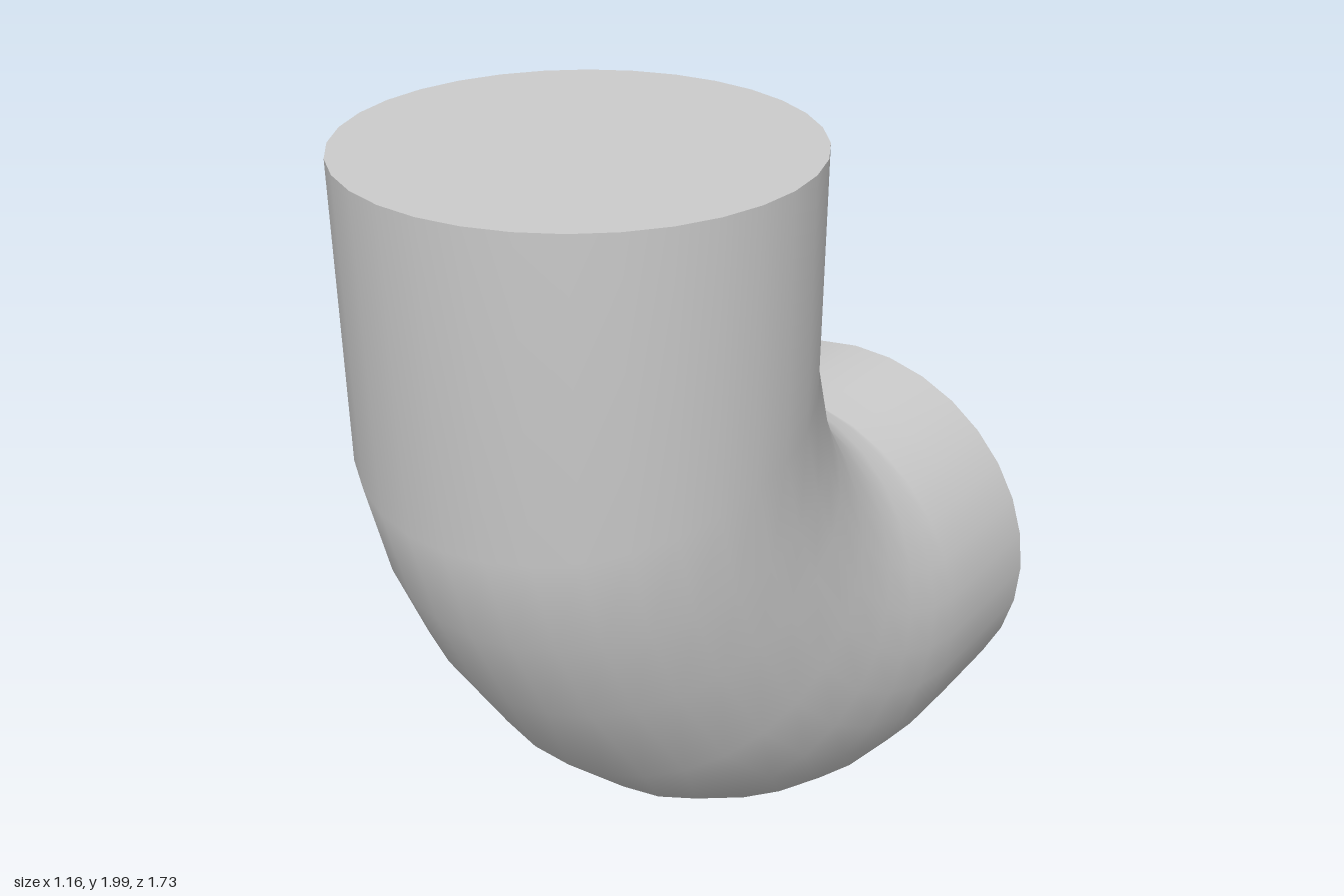
import * as THREE from 'three';

const RADIUS = 0.545;
const SIDES = 32;

// Centre line of the bend: x, y, z, and turn in degrees (0 = heading down, 90 = heading back)
const STATIONS = [
  [-0.035, 2.0, 0.32, 0],
  [-0.037, 1.38, 0.318, 16],
  [-0.03, 1.18, 0.265, 22],
  [-0.02, 1.03, 0.2, 32],
  [0.0, 0.845, 0.085, 45],
  [0.015, 0.71, -0.06, 54],
  [0.025, 0.634, -0.19, 65],
  [0.032, 0.584, -0.32, 74],
  [0.035, 0.56, -0.44, 86],
  [0.034, 0.555, -0.61, 89],
  [0.03, 0.552, -0.86, 90],
];

// Circle of points across the pipe at one station
function ring([x, y, z, degrees], yaw) {
  const t = THREE.MathUtils.degToRad(degrees);
  const outward = new THREE.Vector3(0, -Math.sin(t), Math.cos(t));
  const side = new THREE.Vector3(1, 0, -yaw).normalize();
  return Array.from({ length: SIDES }, (_, j) => {
    const a = (j / SIDES) * Math.PI * 2;
    return new THREE.Vector3(x, y, z)
      .addScaledVector(outward, RADIUS * Math.cos(a))
      .addScaledVector(side, RADIUS * Math.sin(a));
  });
}

function makeMesh(name, points, index, material) {
  const geometry = new THREE.BufferGeometry().setFromPoints(points);
  geometry.setIndex(index);
  geometry.computeVertexNormals();
  const mesh = new THREE.Mesh(geometry, material);
  mesh.name = name;
  return mesh;
}

// Flat disc closing one end of the pipe
function makeCap(name, points, flip, material) {
  const centre = new THREE.Vector3();
  points.forEach((p) => centre.addScaledVector(p, 1 / SIDES));
  const index = [];
  for (let j = 0; j < SIDES; j++) {
    const k = (j + 1) % SIDES;
    index.push(SIDES, flip ? k : j, flip ? j : k);
  }
  return makeMesh(name, [...points, centre], index, material);
}

export function createModel() {
  const group = new THREE.Group();
  group.name = 'elbowPipe';
  const material = new THREE.MeshStandardMaterial({ color: 0xcccccc });

  // Curved wall; the last section turns very slightly sideways
  const rings = STATIONS.map((s, i) => ring(s, i >= STATIONS.length - 2 ? 0.018 : 0));
  const index = [];
  for (let i = 0; i < rings.length - 1; i++) {
    for (let j = 0; j < SIDES; j++) {
      const k = (j + 1) % SIDES;
      const a = i * SIDES + j, b = a + SIDES;
      const c = i * SIDES + k, d = c + SIDES;
      index.push(a, b, c, b, d, c);
    }
  }
  group.add(makeMesh('pipeWall', rings.flat(), index, material));

  // End discs
  group.add(makeCap('topCap', rings[0], false, material));
  group.add(makeCap('backCap', rings[rings.length - 1], true, material));
  return group;
}
